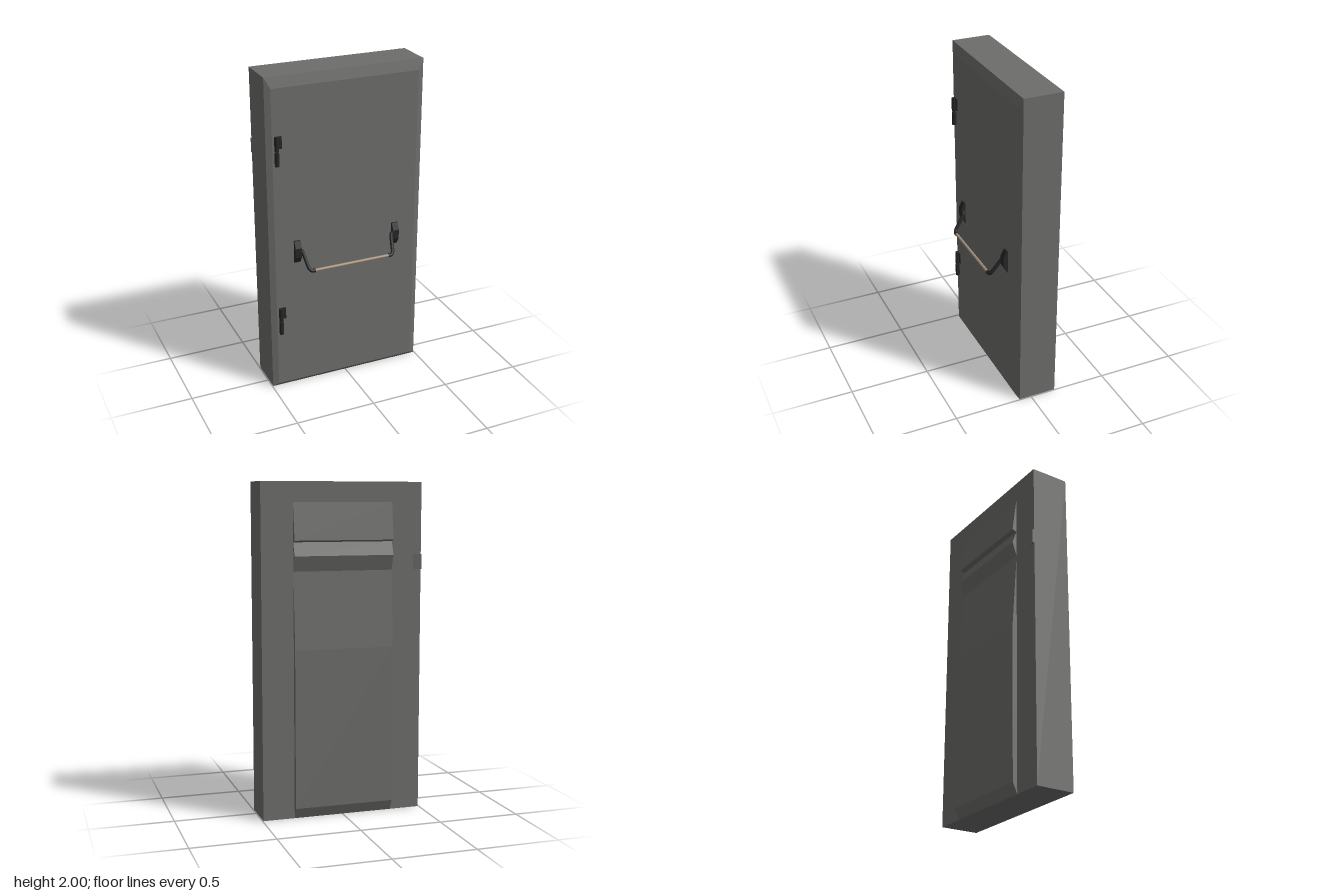
import * as THREE from 'three';

const grey = new THREE.MeshStandardMaterial({ color: 0x6d6d6b });
const black = new THREE.MeshStandardMaterial({ color: 0x262626 });
const tan = new THREE.MeshStandardMaterial({ color: 0xa38f7b });
grey.name = 'doorGrey';
black.name = 'fittingBlack';
tan.name = 'barTan';

function add(parent, name, geometry, material, x = 0, y = 0, z = 0) {
  const mesh = new THREE.Mesh(geometry, material);
  mesh.name = name;
  mesh.position.set(x, y, z);
  parent.add(mesh);
  return mesh;
}

// Extrudes a side profile of [z, y] points from x0 to x1
function extrudeX(profile, x0, x1) {
  const shape = new THREE.Shape(profile.map(([z, y]) => new THREE.Vector2(z, y)));
  const geo = new THREE.ExtrudeGeometry(shape, { depth: x1 - x0, bevelEnabled: false });
  return geo.rotateY(-Math.PI / 2).translate(x1, 0, 0);
}

// Door slab whose front rim is chamfered
function slabGeometry() {
  const geo = new THREE.BoxGeometry(0.99, 2, 0.25, 1, 1, 2);
  const p = geo.attributes.position;
  for (let i = 0; i < p.count; i++) {
    const z = p.getZ(i);
    const top = p.getY(i) > 0;
    if (z > 0.1) p.setXYZ(i, Math.sign(p.getX(i)) * 0.46, top ? 1.935 : 0.02, 0.09);
    else p.setXYZ(i, p.getX(i), top ? 2 : 0, z < -0.1 ? -0.163 : 0.076);
  }
  const flat = geo.toNonIndexed();
  flat.computeVertexNormals();
  return flat;
}

function makeHinge(y) {
  const hinge = new THREE.Group();
  hinge.name = 'hinge';
  hinge.position.set(-0.436, y, 0);
  for (const dy of [-0.046, 0.046]) {
    add(hinge, 'hingeBarrel', new THREE.CylinderGeometry(0.013, 0.013, 0.084, 12), black, 0, dy, 0.101);
    add(hinge, 'hingeFoot', new THREE.BoxGeometry(0.022, 0.08, 0.012), black, 0, dy, 0.092);
  }
  add(hinge, 'hingePin', new THREE.CylinderGeometry(0.007, 0.007, 0.17, 8), black, 0, 0, 0.101);
  add(hinge, 'hingeLeaf', new THREE.BoxGeometry(0.03, 0.075, 0.008), black, 0.018, 0.05, 0.091);
  return hinge;
}

// Wall mount and bent arm at one end of the push bar
function makeBarEnd(s) {
  const end = new THREE.Group();
  end.name = s > 0 ? 'leftBarEnd' : 'rightBarEnd';
  const mount = [[0.085, 0.845], [0.094, 0.845], [0.117, 0.885], [0.12, 0.945], [0.1, 0.988], [0.085, 0.988]];
  const a = s > 0 ? 0.302 : -0.342;
  add(end, 'mount', extrudeX(mount, a, a + 0.04), black);
  const points = [[0.32, 0.93, 0.103], [0.3, 0.925, 0.105], [0.29, 0.895, 0.122],
    [0.275, 0.825, 0.17], [0.262, 0.814, 0.177], [0.242, 0.814, 0.178]];
  const path = new THREE.CatmullRomCurve3(points.map(([x, y, z]) => new THREE.Vector3(s * x, y, z)));
  add(end, 'arm', new THREE.TubeGeometry(path, 20, 0.011, 10), black);
  const collar = new THREE.CylinderGeometry(0.0125, 0.0125, 0.012, 14).rotateZ(Math.PI / 2);
  add(end, 'collar', collar, black, s * 0.248, 0.814, 0.178);
  return end;
}

export function createModel() {
  const door = new THREE.Group();
  door.name = 'door';
  add(door, 'slab', slabGeometry(), grey);

  // Raised back panel with a low body, a ridge and an overhanging lip
  const back = [[-0.15, 0], [-0.163, 0], [-0.192, 0.065], [-0.192, 1.02], [-0.163, 1.48],
    [-0.192, 1.57], [-0.163, 1.65], [-0.192, 1.66], [-0.163, 1.88], [-0.15, 1.88]];
  add(door, 'backPanel', extrudeX(back, -0.308, 0.302), grey);

  // Small wedge catch on the back edge
  const wedge = new THREE.Shape([[-0.495, 0.15], [-0.445, 0.163], [-0.495, 0.177]]
    .map(([x, z]) => new THREE.Vector2(x, z)));
  const wedgeGeo = new THREE.ExtrudeGeometry(wedge, { depth: 0.09, bevelEnabled: false });
  add(door, 'catch', wedgeGeo.rotateX(-Math.PI / 2), grey, 0, 1.48, 0);

  for (const y of [0.467, 1.567]) door.add(makeHinge(y));

  // Push bar
  for (const s of [-1, 1]) door.add(makeBarEnd(s));
  const bar = new THREE.CylinderGeometry(0.009, 0.009, 0.49, 16).rotateZ(Math.PI / 2);
  add(door, 'pushBar', bar, tan, 0, 0.814, 0.178);
  return door;
}
